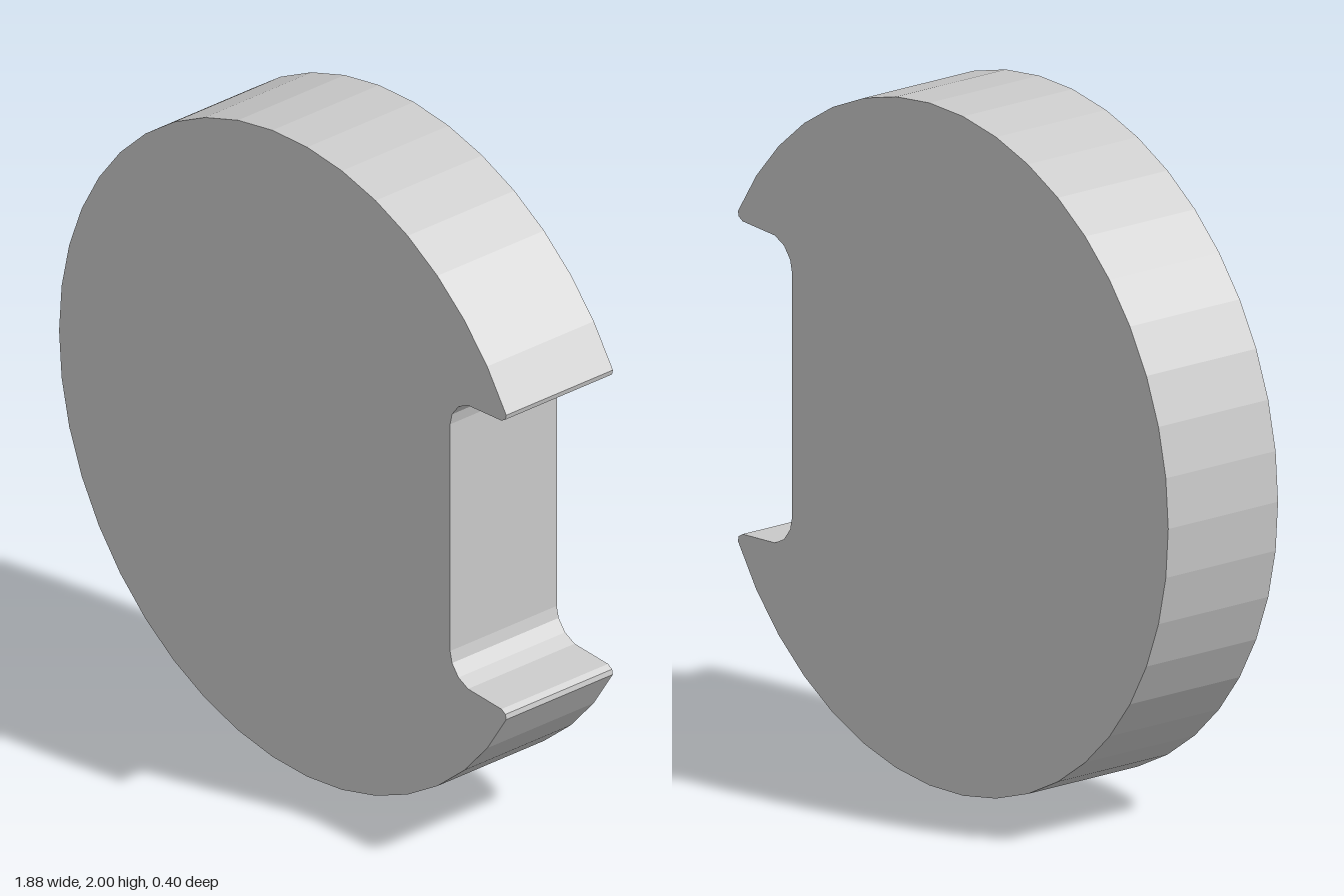
import * as THREE from 'three';

const CENTRE_X = 0.06, CENTRE_Y = 1, RADIUS = 1, DEPTH = 0.4, SEGMENTS = 36;

// Disc outline with a rounded rectangular notch on the +x side
function discOutline() {
  const points = [];
  const start = Math.atan2(0.483, 0.875);
  const sweep = Math.PI * 2 - start * 2;
  for (let i = 0; i <= SEGMENTS; i++) {
    const a = start + (sweep * i) / SEGMENTS;
    points.push(new THREE.Vector2(CENTRE_X + RADIUS * Math.cos(a), CENTRE_Y + RADIUS * Math.sin(a)));
  }
  // lower half of the notch, from the blunt tip to the inner wall: x, distance from the mid-line
  const half = [[0.932, 0.468], [0.915, 0.458], [0.775, 0.45], [0.735, 0.43], [0.708, 0.395], [0.7, 0.36]];
  half.forEach(([x, d]) => points.push(new THREE.Vector2(x, CENTRE_Y - d)));
  half.reverse().forEach(([x, d]) => points.push(new THREE.Vector2(x, CENTRE_Y + d)));
  return new THREE.Shape(points);
}

export function createModel() {
  const group = new THREE.Group();
  group.name = 'notchedDisc';
  const geometry = new THREE.ExtrudeGeometry(discOutline(), { depth: DEPTH, bevelEnabled: false });
  geometry.translate(0, 0, -DEPTH / 2);
  const disc = new THREE.Mesh(geometry, new THREE.MeshStandardMaterial({ color: 0xcccccc, flatShading: true }));
  disc.name = 'discBody';
  group.add(disc);
  return group;
}
